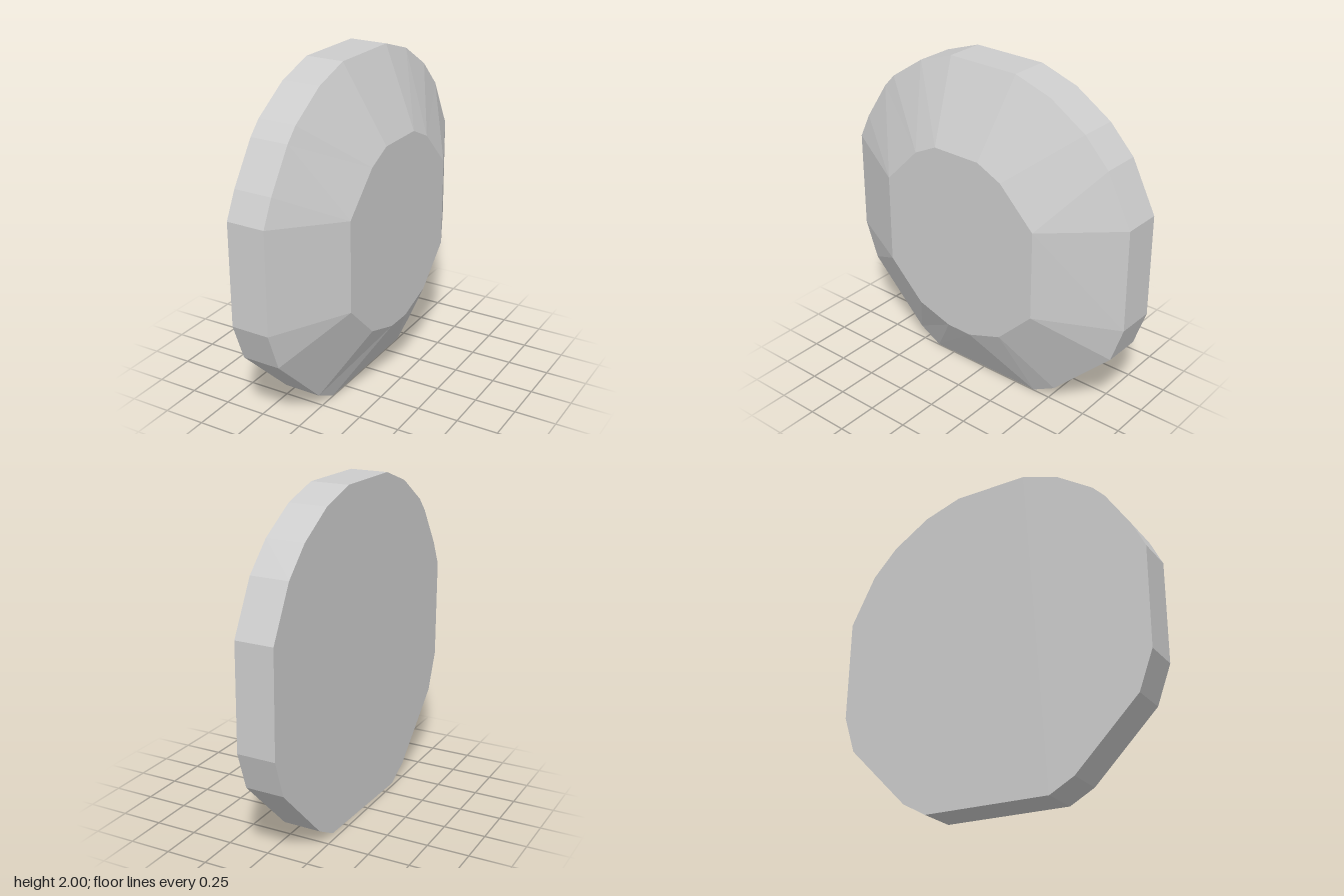
import * as THREE from 'three';

// Rim outline, clockwise seen from +x: z, y, index of the face corner it joins
const RIM = [
  [0.24, 2, 0], [-0.22, 2, 1], [-0.455, 1.925, 2], [-0.685, 1.78, 2], [-0.84, 1.62, 3],
  [-0.995, 1.32, 3], [-1, 0.7, 4], [-0.925, 0.475, 4], [-0.545, 0.095, 5], [-0.395, 0.012, 6],
  [0.38, 0, 7], [0.53, 0.08, 8], [0.915, 0.46, 9], [1, 0.69, 9], [1, 1.3, 10],
  [0.925, 1.455, 10], [0.77, 1.69, 11], [0.695, 1.77, 11], [0.47, 1.92, 0],
];

// Raised flat face outline, same direction: z, y
const FACE = [
  [0.165, 1.54], [-0.145, 1.54], [-0.305, 1.465], [-0.53, 1.24], [-0.53, 0.7], [-0.305, 0.475],
  [-0.08, 0.395], [0.085, 0.395], [0.31, 0.465], [0.54, 0.69], [0.54, 1.235], [0.315, 1.465],
];

const BACK_X = -0.228, RIM_X = 0.003, FACE_X = 0.232;

const ring = (outline, x) => outline.map(([z, y]) => new THREE.Vector3(x, y, z));

// Triangle fan closing a convex ring
function fan(points, reverse) {
  const tris = [];
  for (let i = 1; i < points.length - 1; i++) {
    tris.push(reverse ? [points[0], points[i], points[i + 1]] : [points[0], points[i + 1], points[i]]);
  }
  return tris;
}

// Band between two rings of matched points; repeated points give single triangles
function band(lower, upper) {
  const tris = [];
  lower.forEach((a, i) => {
    const j = (i + 1) % lower.length;
    const b = lower[j], c = upper[j], d = upper[i];
    tris.push([a, d, b]);
    if (c !== d) tris.push([b, d, c]);
  });
  return tris;
}

function createMesh(name, tris, material) {
  const geometry = new THREE.BufferGeometry().setFromPoints(tris.flat());
  geometry.computeVertexNormals();
  const mesh = new THREE.Mesh(geometry, material);
  mesh.name = name;
  return mesh;
}

export function createModel() {
  const grey = new THREE.MeshStandardMaterial({ color: 0xcccccc });
  grey.name = 'light grey';

  const back = ring(RIM, BACK_X);
  const rim = ring(RIM, RIM_X);
  const face = ring(FACE, FACE_X);
  const faceCorners = RIM.map((p) => face[p[2]]);

  const disc = new THREE.Group();
  disc.name = 'facetedDisc';
  disc.add(
    createMesh('backFace', fan(back, true), grey),
    createMesh('sideWall', band(back, rim), grey),
    createMesh('bevel', band(rim, faceCorners), grey),
    createMesh('raisedFace', fan(face, false), grey),
  );
  disc.rotation.y = -0.015; // the disc sits very slightly turned

  const model = new THREE.Group();
  model.name = 'model';
  model.add(disc);
  return model;
}
